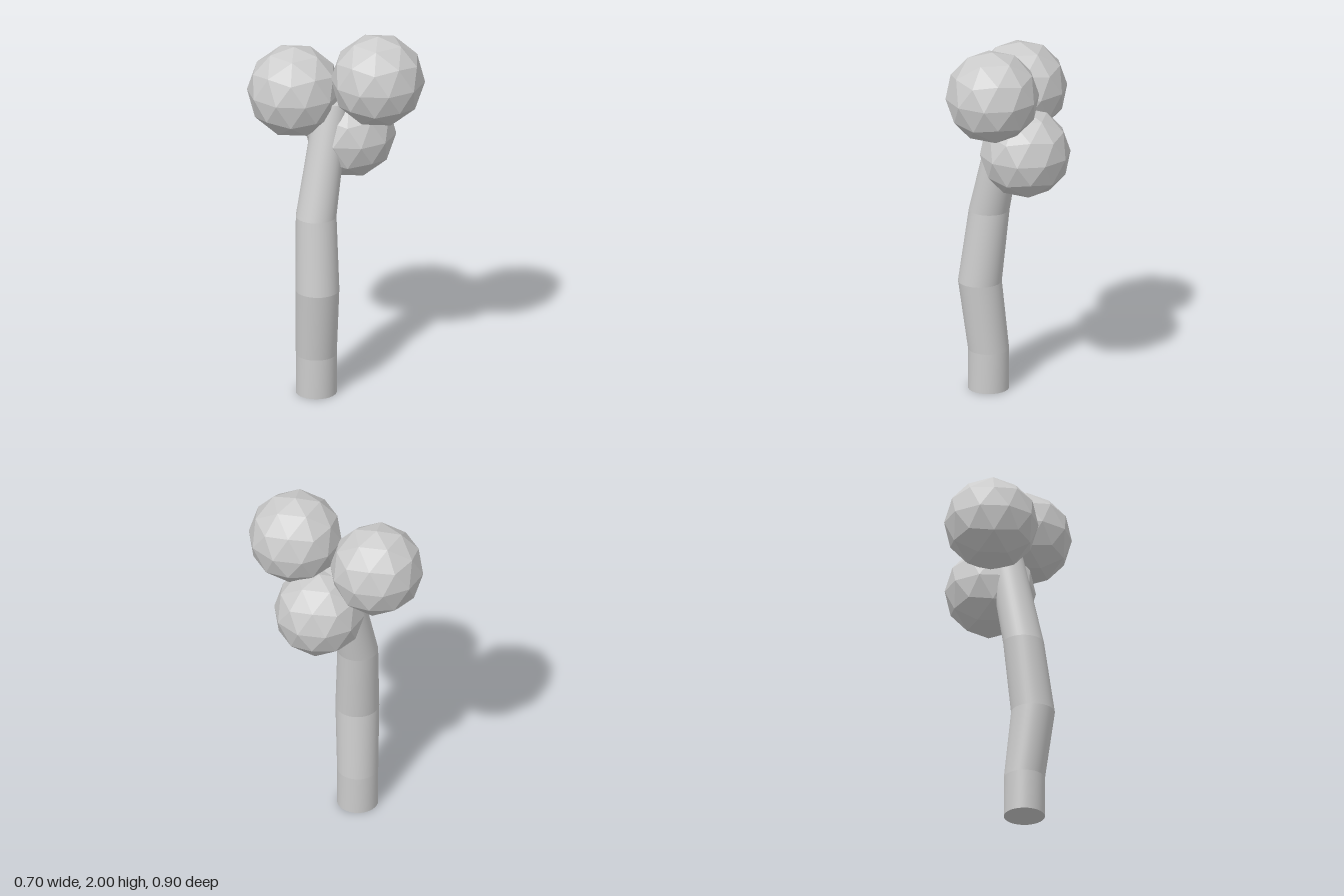
import * as THREE from 'three';
import { mergeVertices } from 'three/addons/utils/BufferGeometryUtils.js';

const SIDES = 32;

// Leaning tube section between two horizontal rings [x, y, z, radius]
function trunkSection(a, b, material) {
  const h = b[1] - a[1];
  let geo = new THREE.CylinderGeometry(b[3], a[3], h, SIDES, 1, true);
  geo.translate(0, h / 2, 0);
  const p = geo.attributes.position;
  for (let i = 0; i < p.count; i++) {
    const t = p.getY(i) / h;
    p.setXYZ(
      i,
      p.getX(i) + THREE.MathUtils.lerp(a[0], b[0], t),
      p.getY(i) + a[1],
      p.getZ(i) + THREE.MathUtils.lerp(a[2], b[2], t)
    );
  }
  // Weld the seam so shading is smooth all the way round
  geo.deleteAttribute('uv');
  geo.deleteAttribute('normal');
  geo = mergeVertices(geo);
  geo.computeVertexNormals();
  const mesh = new THREE.Mesh(geo, material);
  mesh.name = 'trunkSection';
  return mesh;
}

// Flat end disc on a trunk ring
function trunkCap(ring, up, material) {
  const geo = new THREE.CircleGeometry(ring[3], SIDES);
  geo.rotateX(up ? -Math.PI / 2 : Math.PI / 2);
  geo.rotateY(Math.PI / 2);
  geo.translate(ring[0], ring[1], ring[2]);
  const mesh = new THREE.Mesh(geo, material);
  mesh.name = up ? 'trunkTop' : 'trunkBase';
  return mesh;
}

// Faceted ball with a vertex at each pole
function foliageBall(x, y, z, r, material) {
  const geo = new THREE.IcosahedronGeometry(r, 1);
  geo.rotateX(-Math.atan((1 + Math.sqrt(5)) / 2));
  geo.rotateY(Math.PI / 2);
  const mesh = new THREE.Mesh(geo, material);
  mesh.position.set(x, y, z);
  mesh.name = 'foliageBall';
  return mesh;
}

export function createModel() {
  const model = new THREE.Group();
  model.name = 'tree';
  const bark = new THREE.MeshStandardMaterial({ color: 0xcccccc });
  const leaf = new THREE.MeshStandardMaterial({ color: 0xcccccc, flatShading: true });

  // Crooked trunk
  const trunk = new THREE.Group();
  trunk.name = 'trunk';
  const rings = [
    [-0.157, 0, -0.012, 0.108],
    [-0.157, 0.22, -0.012, 0.108],
    [-0.187, 0.6, 0.022, 0.115],
    [-0.155, 1.0, -0.015, 0.107],
    [-0.005, 1.61, -0.03, 0.09],
  ];
  for (let i = 0; i < rings.length - 1; i++) {
    trunk.add(trunkSection(rings[i], rings[i + 1], bark));
  }
  trunk.add(trunkCap(rings[0], false, bark), trunkCap(rings[rings.length - 1], true, bark));
  model.add(trunk);

  // Three balls of foliage
  const foliage = new THREE.Group();
  foliage.name = 'foliage';
  for (const [x, y, z, r] of [
    [0.092, 1.752, 0.2, 0.248],
    [-0.114, 1.648, -0.202, 0.248],
    [0.12, 1.39, -0.012, 0.24],
  ]) {
    foliage.add(foliageBall(x, y, z, r, leaf));
  }
  model.add(foliage);

  return model;
}
